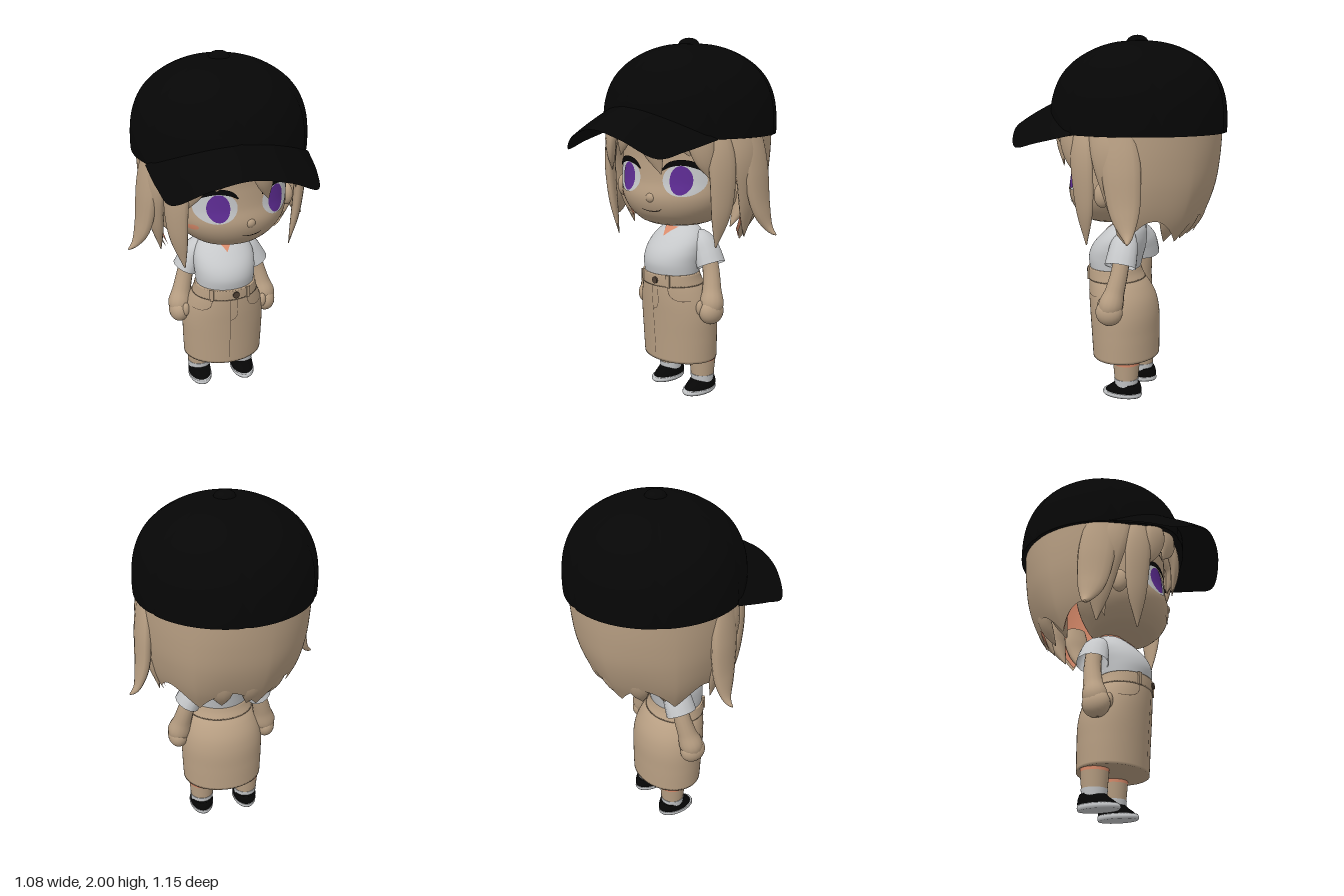
import * as THREE from 'three';
import { mergeVertices } from 'three/addons/utils/BufferGeometryUtils.js';
import { ParametricGeometry } from 'three/addons/geometries/ParametricGeometry.js';

const mat = (name, color) => new THREE.MeshStandardMaterial({ name, color, side: THREE.DoubleSide });
const V = (p) => new THREE.Vector3(...p);
const spline = (pts) => new THREE.CatmullRomCurve3(pts.map(V));

function smooth(g) {
  g.deleteAttribute('uv');
  g.deleteAttribute('normal');
  const m = mergeVertices(g, 1e-5);
  m.computeVertexNormals();
  return m;
}

const sheet = (fn, u, v) => smooth(new ParametricGeometry((a, b, out) => out.set(...fn(a, b)), u, v));

// Smooth table lookup: rows of [y, ...values]
function table(rows) {
  const f = new THREE.CubicInterpolant(rows.map((r) => r[0]), rows.flatMap((r) => r.slice(1)), rows[0].length - 1);
  return (y) => Array.from(f.evaluate(y));
}

// Closed body from elliptical sections [y, half width, front z, back z]
function loft(rows, rings = 36, S = 64) {
  const at = table(rows), y0 = rows[0][0], y1 = rows[rows.length - 1][0];
  const pos = [], idx = [];
  for (let i = 0; i <= rings; i++) {
    const y = y0 + (y1 - y0) * i / rings, [rx, zf, zb] = at(y);
    for (let j = 0; j < S; j++) {
      const a = j / S * Math.PI * 2;
      pos.push(rx * Math.sin(a), y, (zf + zb) / 2 + (zf - zb) / 2 * Math.cos(a));
      const p = i * S + j, q = i * S + (j + 1) % S;
      if (i < rings) idx.push(p, q, p + S, q, q + S, p + S);
    }
  }
  const c = pos.length / 3, top = rings * S;
  pos.push(0, y0, (rows[0][2] + rows[0][3]) / 2);
  pos.push(0, y1, (rows[rows.length - 1][2] + rows[rows.length - 1][3]) / 2);
  for (let j = 0; j < S; j++) {
    const k = (j + 1) % S;
    idx.push(c, k, j, c + 1, top + j, top + k);
  }
  const g = new THREE.BufferGeometry();
  g.setAttribute('position', new THREE.Float32BufferAttribute(pos, 3));
  g.setIndex(idx);
  g.computeVertexNormals();
  // Front surface depth, for laying details on the body
  const z = (x, y) => {
    const [rx, zf, zb] = at(y);
    return (zf + zb) / 2 + (zf - zb) / 2 * Math.sqrt(Math.max(0, 1 - (x / rx) ** 2));
  };
  return { g, z };
}

// Tapered limb or hair lock along a curve; flat squashes it toward the head axis
function taper(pts, radii, flat = 1, n = 28) {
  const curve = spline(pts), g = new THREE.TubeGeometry(curve, n, 1, 14, false);
  const r = table(radii.map((v, i) => [i / (radii.length - 1), v]));
  const p = g.attributes.position, v = new THREE.Vector3();
  for (let i = 0; i < p.count; i++) {
    const t = Math.floor(i / 15) / n, c = curve.getPointAt(t);
    v.fromBufferAttribute(p, i).sub(c).multiplyScalar(Math.max(r(t)[0], 0.001));
    const out = new THREE.Vector3(c.x, 0, c.z + 0.1).normalize();
    v.addScaledVector(out, (flat - 1) * v.dot(out)).add(c);
    p.setXYZ(i, v.x, v.y, v.z);
  }
  return smooth(g);
}

// Thin strip [x, y, half width] laid on a body's front
function strip(body, pts, lift = 0.006) {
  const c = spline(pts);
  return sheet((u, v) => {
    const p = c.getPoint(u), t = c.getTangent(u), l = Math.hypot(t.x, t.y), w = p.z * (v * 2 - 1);
    const x = p.x + t.y / l * w, y = p.y - t.x / l * w;
    return [x, y, body.z(x, y) + lift];
  }, 24, 4);
}

// Thin oval laid on a body's front
function oval(body, cx, cy, rx, ry, lift) {
  const g = new THREE.RingGeometry(0.001, 1, 36, 8), p = g.attributes.position;
  for (let i = 0; i < p.count; i++) {
    const x = cx + p.getX(i) * rx, y = cy + p.getY(i) * ry;
    p.setXYZ(i, x, y, body.z(x, y) + lift);
  }
  return smooth(g);
}

export function createModel() {
  const tan = mat('tan', 0xb89f83), coral = mat('coral', 0xd88a6a), black = mat('black', 0x060606);
  const white = mat('white', 0xc6c8ca), purple = mat('purple', 0x5e2c94), brown = mat('darkBrown', 0x4e4034);
  const root = new THREE.Group(), head = new THREE.Group();
  head.name = 'head';
  root.add(head);
  const add = (name, g, m, parent = root) => {
    const mesh = new THREE.Mesh(g, m);
    mesh.name = name;
    parent.add(mesh);
    return mesh;
  };

  // Head turned a little to its left about the neck
  const yaw = 0.227;
  head.rotation.y = yaw;
  head.position.set(0.1 * Math.sin(yaw), 0, 0.1 * Math.cos(yaw) - 0.1);
  const face = loft([[0.99, 0.08, 0.12, -0.08], [1.005, 0.17, 0.18, -0.13], [1.04, 0.235, 0.23, -0.17],
    [1.09, 0.285, 0.265, -0.2], [1.16, 0.322, 0.283, -0.23], [1.25, 0.338, 0.268, -0.25],
    [1.35, 0.34, 0.262, -0.26], [1.5, 0.33, 0.26, -0.27], [1.64, 0.26, 0.2, -0.24]], 48);
  add('face', face.g, tan, head);
  const nose = add('nose', new THREE.SphereGeometry(1, 20, 14), tan, head);
  nose.scale.set(0.03, 0.028, 0.022);
  nose.position.set(0, 1.165, 0.27);
  add('mouth', strip(face, [[-0.065, 1.1, 0.001], [0, 1.092, 0.003], [0.05, 1.098, 0.003], [0.07, 1.11, 0.001]]), brown, head);
  add('blush', oval(face, -0.28, 1.15, 0.022, 0.016, 0.004), coral, head);

  for (const s of [-1, 1]) {
    add('eyeWhite', oval(face, s * 0.178, 1.265, 0.105, 0.085, 0.004), white, head);
    add('iris', oval(face, s * 0.17, 1.265, 0.057, 0.076, 0.007), purple, head);
    add('eyelash', strip(face, [[0.07, 1.315, 0.004], [0.11, 1.345, 0.013], [0.18, 1.358, 0.015],
      [0.25, 1.338, 0.014], [0.29, 1.3, 0.004]].map(([x, y, w]) => [s * x, y, w]), 0.009), black, head);
    add('eyebrow', strip(face, [[0.08, 1.435, 0.002], [0.16, 1.452, 0.005], [0.25, 1.44, 0.002]]
      .map(([x, y, w]) => [s * x, y, w])), black, head);
    const ear = add('ear', new THREE.SphereGeometry(1, 20, 16), tan, head);
    ear.scale.set(0.035, 0.065, 0.045);
    ear.position.set(s * 0.352, 1.18, 0.05);

    // Hair locks at the side
    const lock = (name, pts, w) => add(name, taper(pts.map(([x, y, z]) => [s * x, y, z]),
      [w * 0.8, w, w * 0.95, w * 0.7, 0.004], 0.42), tan, head);
    lock('flaredLock', [[0.42, 1.52, -0.04], [0.448, 1.3, -0.06], [0.475, 1.1, -0.08], [0.52, 0.99, -0.1], [0.555, 0.965, -0.1]], 0.1);
    lock('faceLock', [[0.31, 1.58, 0.16], [0.365, 1.38, 0.155], [0.365, 1.15, 0.145], [0.325, 0.91, 0.14]], 0.075);
    lock('sideLock', [[0.38, 1.56, 0.06], [0.425, 1.38, 0.01], [0.415, 1.18, -0.04], [0.375, 0.94, -0.07]], 0.09);
    lock('outerBang', [[0.25, 1.6, 0.22], [0.29, 1.48, 0.24], [0.325, 1.28, 0.19]], 0.07);
  }
  for (const [w, pts] of [[0.075, [[0.0, 1.64, 0.29], [0.04, 1.47, 0.325], [0.09, 1.3, 0.3]]],
    [0.075, [[-0.14, 1.64, 0.26], [-0.15, 1.52, 0.3], [-0.2, 1.38, 0.27]]],
    [0.07, [[0.15, 1.64, 0.26], [0.19, 1.53, 0.295], [0.24, 1.4, 0.26]]]])
    add('fringeLock', taper(pts, [w * 0.9, w, w * 0.75, 0.004], 0.4), tan, head);

  // Back hair: scalloped shell with a warm lining
  const hairR = table([[0.88, 0.31, 0.27], [0.95, 0.355, 0.31], [1.05, 0.4, 0.365], [1.2, 0.435, 0.42], [1.35, 0.45, 0.445], [1.6, 0.455, 0.46]]);
  const shell = (k, rise) => sheet((u, v) => {
    const a = (u - 0.5) * 3.6, tooth = 1 - Math.abs(Math.sin(a * 3.5 + 0.4));
    const hem = 1.05 + rise - 0.13 * tooth, y = 1.58 + (hem - 1.58) * v;
    const [rx, rz] = hairR(y), wave = k * (1 + 0.05 * v * v * (tooth - 0.4));
    return [rx * wave * Math.sin(a), y, -0.1 - rz * wave * Math.cos(a)];
  }, 140, 28);
  add('backHair', shell(1, 0), tan, head);
  add('hairLining', shell(0.95, 0.015), coral, head);
  for (const a of [-0.95, -0.5, 0, 0.5, 0.95]) {
    const at = (r, y) => [r * Math.sin(a), y, -0.1 - r * Math.cos(a)];
    add('napeLock', taper([at(0.36, 1.2), at(0.335, 1.05), at(0.27, 0.92)], [0.06, 0.075, 0.05, 0.004], 0.45), tan, head);
  }

  // Cap crown with six pressed seams and a raised front edge
  const profile = [[0.43, 1.5], [0.472, 1.487], [0.48, 1.5], [0.478, 1.6], [0.463, 1.69], [0.43, 1.77], [0.38, 1.835], [0.31, 1.89], [0.22, 1.935], [0.12, 1.962], [0, 1.972]];
  const outline = new THREE.SplineCurve(profile.map((p) => new THREE.Vector2(...p))).getPoints(60);
  outline[60].x = 0;
  const crown = new THREE.LatheGeometry(outline, 144), cp = crown.attributes.position;
  for (let i = 0; i < cp.count; i++) {
    const x = cp.getX(i), y = cp.getY(i), z = cp.getZ(i), a = Math.atan2(x, z);
    const off = (((a / (Math.PI / 3)) % 1) + 1.5) % 1 - 0.5;
    const k = 1 - 0.013 * Math.exp(-((off / 0.035) ** 2));
    const arch = Math.abs(a) < 1.08 ? Math.cos(a * Math.PI / 2.16) ** 2 : 0;
    const lift = 0.075 * arch * Math.max(0, 1 - (y - 1.487) / 0.2);
    cp.setXYZ(i, x * k, y + lift, z * k - 0.1);
  }
  add('capCrown', smooth(crown), black);
  const button = add('capButton', new THREE.SphereGeometry(1, 24, 12), black);
  button.scale.set(0.057, 0.035, 0.057);
  button.position.set(0, 1.965, -0.09);

  // Cap brim, arched and drooping at the corners
  const edge = spline([[-0.44, 1.485, 0.12], [-0.415, 1.435, 0.32], [-0.37, 1.4, 0.465], [-0.2, 1.49, 0.555], [0, 1.535, 0.576],
    [0.2, 1.495, 0.555], [0.375, 1.41, 0.465], [0.42, 1.44, 0.32], [0.44, 1.485, 0.12]]);
  for (const drop of [0, 0.012]) add('capBrim', sheet((u, v) => {
    const a = (u - 0.5) * 2.16, o = edge.getPoint(u), c = Math.cos((u - 0.5) * Math.PI);
    const y = 1.5 + 0.145 * c;
    return [0.468 * Math.sin(a) * (1 - v) + o.x * v, y * (1 - v) + o.y * v + 0.03 * c * v * (1 - v) - drop * (1 - v * v),
      (-0.1 + 0.468 * Math.cos(a)) * (1 - v) + o.z * v];
  }, 64, 12), black);

  // Neck and shirt
  const neck = add('neck', new THREE.CylinderGeometry(0.06, 0.068, 0.16, 32), coral);
  neck.position.set(0, 0.97, -0.045);
  const shirt = loft([[0.7, 0.165, 0.176, -0.1], [0.78, 0.172, 0.185, -0.12], [0.84, 0.175, 0.164, -0.135],
    [0.9, 0.165, 0.115, -0.14], [0.95, 0.13, 0.06, -0.13], [0.975, 0.09, 0.025, -0.11], [0.982, 0.062, 0.01, -0.1]]);
  add('shirt', shirt.g, white);
  add('neckOpening', strip(shirt, [[0, 0.92, 0.001], [0, 0.945, 0.022], [0, 0.97, 0.05]]), coral);

  // Skirt, waistband and stitched details
  const skirt = loft([[0.21, 0.233, 0.155, -0.215], [0.35, 0.238, 0.163, -0.215], [0.48, 0.238, 0.172, -0.21],
    [0.56, 0.225, 0.178, -0.19], [0.63, 0.2, 0.181, -0.15], [0.67, 0.18, 0.181, -0.115], [0.715, 0.168, 0.18, -0.095]]);
  add('skirt', skirt.g, tan);
  const band = loft([[0.655, 0.19, 0.187, -0.132], [0.69, 0.181, 0.188, -0.114], [0.72, 0.175, 0.187, -0.104]], 8);
  add('waistband', band.g, tan);
  add('frontSeam', strip(skirt, [[0, 0.25, 0.0015], [0, 0.43, 0.0015], [0, 0.65, 0.0015]], 0.003), brown);
  add('flyStitch', strip(skirt, [[0.04, 0.65, 0.0015], [0.042, 0.56, 0.0015], [0.03, 0.53, 0.0015], [0.002, 0.515, 0.0015]], 0.003), brown);
  const stud = add('button', new THREE.CylinderGeometry(0.019, 0.019, 0.009, 24).rotateX(Math.PI / 2), brown);
  stud.position.set(0.03, 0.688, 0.19);
  for (const s of [-1, 1]) {
    add('pocketSeam', strip(skirt, [[0.1, 0.65, 0.0015], [0.115, 0.605, 0.0015], [0.155, 0.58, 0.0015], [0.2, 0.578, 0.0015]]
      .map(([x, y, w]) => [s * x, y, w]), 0.003), brown);
    const loop = add('beltLoop', new THREE.BoxGeometry(0.022, 0.07, 0.012), tan);
    loop.position.set(s * 0.105, 0.688, band.z(0.105, 0.688) + 0.002);
    loop.rotation.y = s * 0.4;

    // Flared sleeve, arm and hand
    const m = (pts) => pts.map(([x, y, z]) => [s * x, y, z]);
    add('sleeve', taper(m([[0.1, 0.925, -0.055], [0.142, 0.885, -0.057], [0.178, 0.83, -0.058], [0.21, 0.765, -0.056]]),
      [0.04, 0.062, 0.069, 0.073]), white).scale.z = 1.22;
    add('arm', taper(m([[0.185, 0.83, -0.07], [0.213, 0.73, -0.065], [0.24, 0.62, -0.045], [0.26, 0.52, -0.022], [0.263, 0.442, -0.012]]),
      [0.045, 0.047, 0.053, 0.065, 0.004]), tan);
    const hand = add('hand', new THREE.SphereGeometry(1, 24, 18), tan);
    hand.scale.set(0.06, 0.073, 0.076);
    hand.position.set(s * 0.26, 0.517, -0.022);
    const thumb = add('thumb', new THREE.SphereGeometry(1, 16, 12), tan);
    thumb.scale.set(0.022, 0.042, 0.022);
    thumb.position.set(s * 0.23, 0.54, 0.036);

    // Leg, sock and shoe
    const foot = new THREE.Group();
    foot.name = 'foot';
    foot.position.x = s * 0.135;
    root.add(foot);
    const tube = (name, r1, r0, y0, y1, material) => {
      const t = add(name, new THREE.CylinderGeometry(r1, r0, y1 - y0, 32), material, foot);
      t.position.set(0, (y0 + y1) / 2, -0.078);
    };
    tube('thigh', 0.078, 0.075, 0.193, 0.36, coral);
    tube('lowerLeg', 0.075, 0.065, 0.09, 0.193, tan);
    tube('sock', 0.069, 0.064, 0.06, 0.107, white);
    add('sole', loft([[0, 0.064, 0.055, -0.163], [0.01, 0.07, 0.062, -0.168], [0.028, 0.069, 0.056, -0.167]], 6, 40).g, white, foot);
    add('shoe', loft([[0.02, 0.066, 0.05, -0.165], [0.04, 0.067, 0.035, -0.166], [0.06, 0.066, 0.008, -0.163], [0.08, 0.062, -0.014, -0.155]], 12, 40).g, black, foot);
  }
  return root;
}
